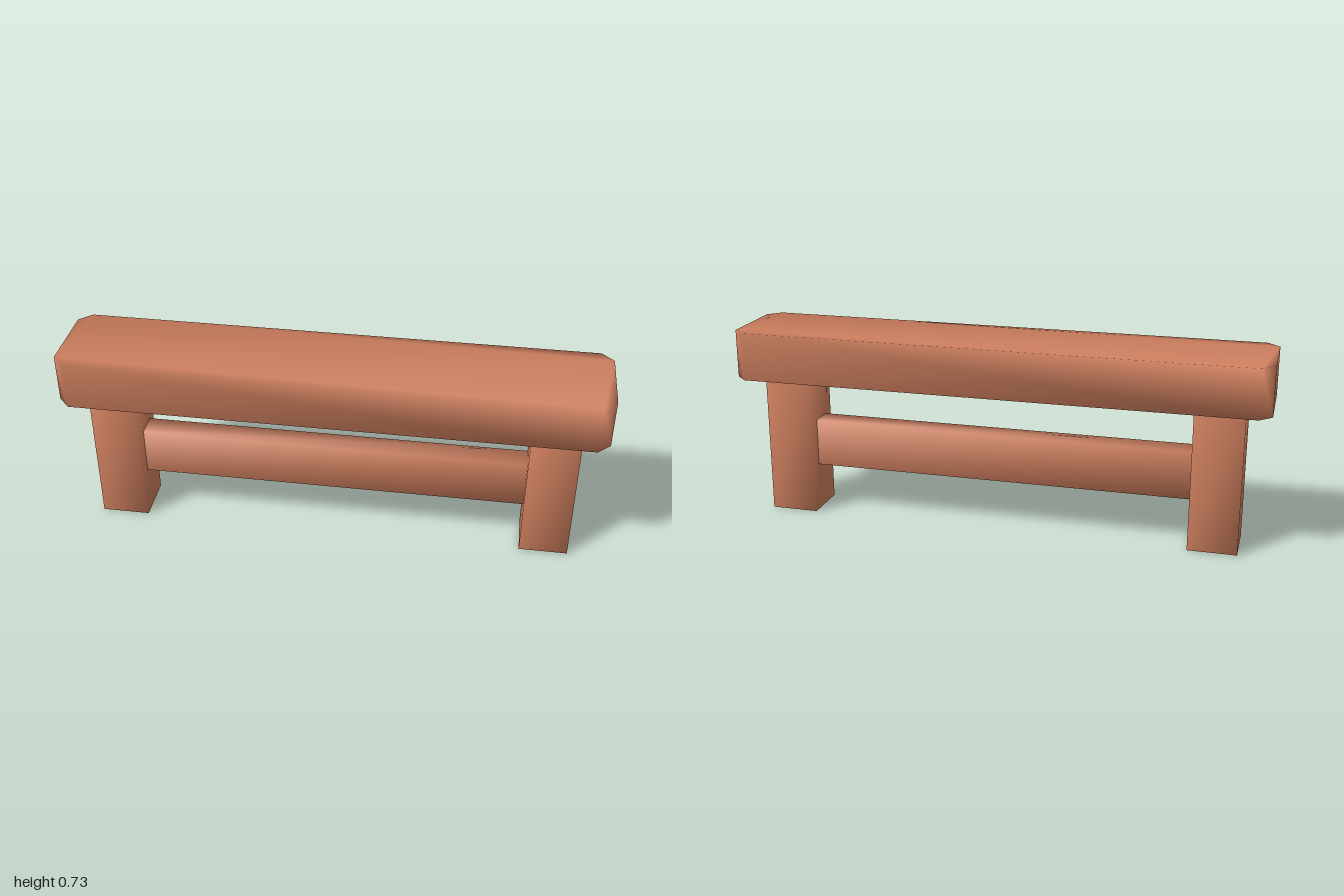
import * as THREE from 'three';
import { mergeVertices } from 'three/addons/utils/BufferGeometryUtils.js';

const U = 1 / 11; // module the bench is proportioned on

// Weld the corners so that shading runs smoothly around the edges
function soften(geometry) {
  geometry.deleteAttribute('normal');
  geometry.deleteAttribute('uv');
  geometry.clearGroups();
  const welded = mergeVertices(geometry, 1e-4);
  welded.computeVertexNormals();
  return welded;
}

export function createModel() {
  const group = new THREE.Group();
  group.name = 'bench';
  const wood = new THREE.MeshStandardMaterial({ color: 0xcb7d5d });
  wood.name = 'terracotta wood';

  function add(name, geometry, x, y, z) {
    const mesh = new THREE.Mesh(soften(geometry), wood);
    mesh.name = name;
    mesh.position.set(x, y, z);
    group.add(mesh);
  }

  // Seat: long slab with its four vertical corners cut off
  const hx = 11 * U, hz = 2 * U, cut = 0.5 * U;
  const outline = new THREE.Shape([
    [hx - cut, -hz], [hx, -hz + cut], [hx, hz - cut], [hx - cut, hz],
    [-hx + cut, hz], [-hx, hz - cut], [-hx, -hz + cut], [-hx + cut, -hz],
  ].map(([x, y]) => new THREE.Vector2(x, y)));
  const seat = new THREE.ExtrudeGeometry(outline, { depth: 2 * U, bevelEnabled: false });
  seat.rotateX(-Math.PI / 2);
  add('seat', seat, 0, 6 * U, 0);

  // Square legs
  for (const [name, side] of [['leftLeg', 1], ['rightLeg', -1]]) {
    add(name, new THREE.BoxGeometry(2 * U, 6 * U, 2 * U), side * 9 * U, 3 * U, 0);
  }

  // Stretcher between the legs
  add('stretcher', new THREE.BoxGeometry(16 * U, 2 * U, U), 0, 3 * U, 0);

  return group;
}
